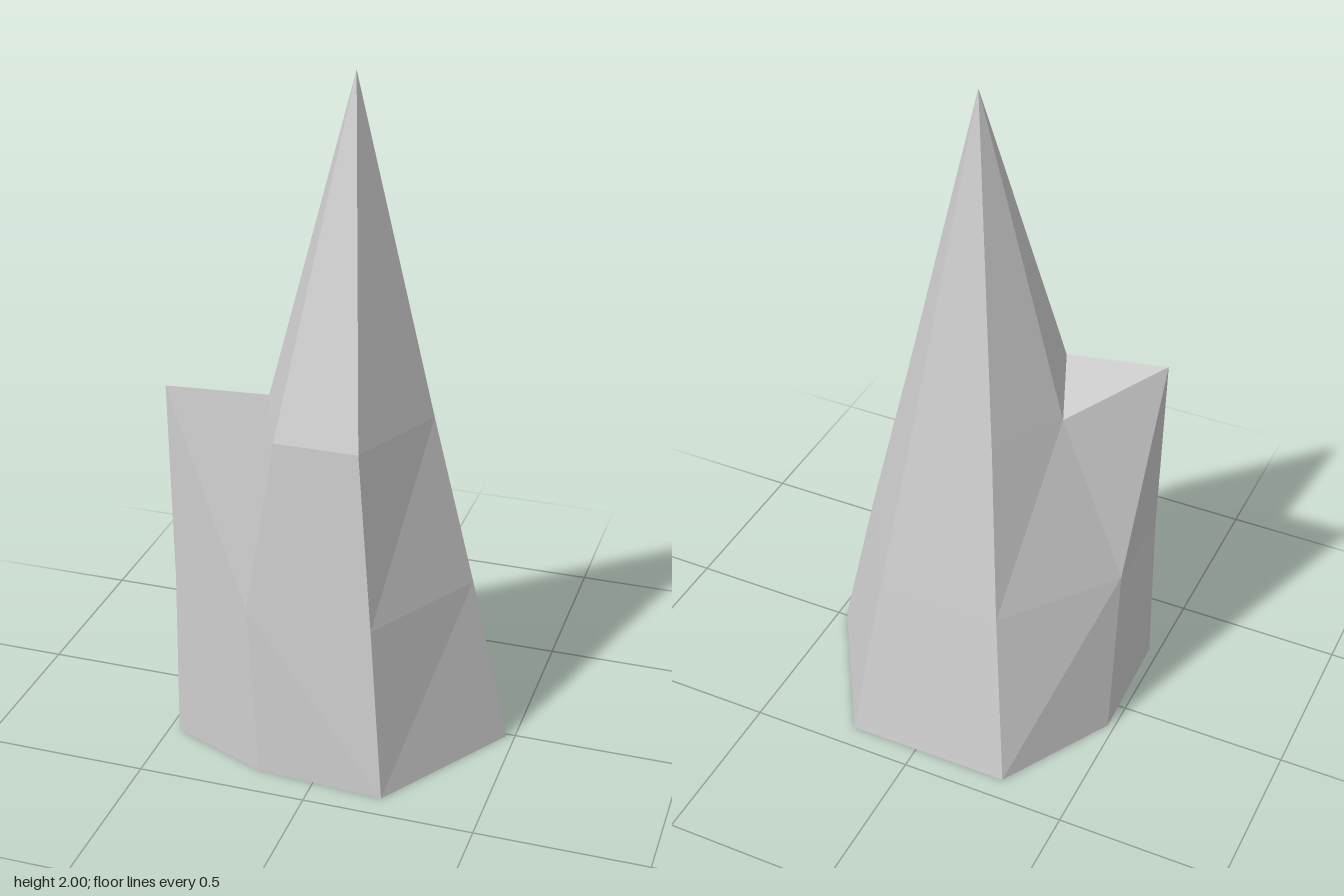
import * as THREE from 'three';

// Three seven-point cross-sections, counterclockwise from above, starting at +x
const BASE = [[0.475, 0, 0.01], [0.21, 0, -0.43], [-0.285, 0, -0.43], [-0.48, 0, -0.09],
  [-0.47, 0, 0.275], [-0.17, 0, 0.4], [0.21, 0, 0.425]];
const MIDDLE = [[0.36, 0.51, 0.01], [0.16, 0.51, -0.32], [-0.21, 0.51, -0.32], [-0.46, 0.51, 0.01],
  [-0.467, 0.52, 0.26], [-0.21, 0.51, 0.365], [0.16, 0.51, 0.37]];
const UPPER = [[0.235, 1.02, 0.01], [0.105, 1.02, -0.205], [-0.14, 1.02, -0.205], [-0.26, 1.02, 0.01],
  [-0.48, 1.12, 0.245], [-0.14, 1.02, 0.31], [0.105, 1.02, 0.31]];
const APEX = [0.004, 2, 0.01];

export function createModel() {
  const group = new THREE.Group();
  const stone = new THREE.MeshStandardMaterial({ color: 0xcccccc, flatShading: true });
  stone.name = 'grey stone';

  const addPart = (name, triangles) => {
    const geometry = new THREE.BufferGeometry();
    geometry.setAttribute('position', new THREE.Float32BufferAttribute(triangles.flat(2), 3));
    geometry.computeVertexNormals();
    const mesh = new THREE.Mesh(geometry, stone);
    mesh.name = name;
    group.add(mesh);
  };

  // Band of faces between two cross-sections; the front-left quads fold the other way
  const band = (low, high) => low.flatMap((a, i) => {
    const j = (i + 1) % low.length;
    const b = low[j], c = high[j], d = high[i];
    return i === 4 || i === 5 ? [[a, b, d], [b, c, d]] : [[a, b, c], [a, c, d]];
  });

  // Fan of faces from a ring to one point
  const fan = (ring, tip) => ring.map((p, i) => [p, ring[(i + 1) % ring.length], tip]);

  addPart('lowerBody', band(BASE, MIDDLE));
  addPart('upperBody', band(MIDDLE, UPPER));

  // The spire skips the raised corner, which carries the ledge
  addPart('spire', fan(UPPER.filter((p, i) => i !== 4), APEX));
  addPart('ledge', [[UPPER[3], UPPER[4], UPPER[5]]]);

  addPart('underside', fan([...BASE].reverse(), [0, 0, 0]));
  return group;
}
